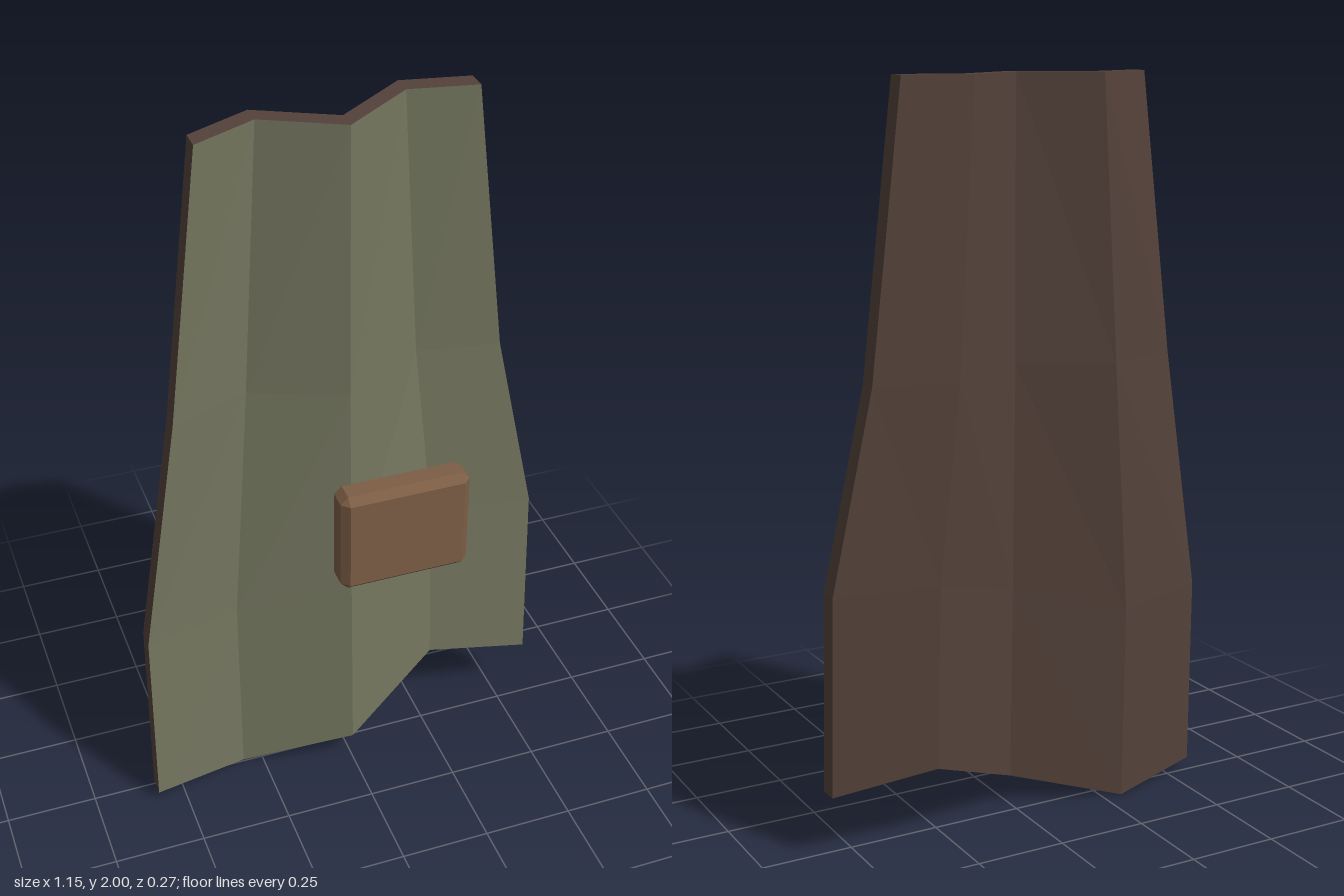
import * as THREE from 'three';
import { ConvexGeometry } from 'three/addons/geometries/ConvexGeometry.js';

const olive = new THREE.MeshStandardMaterial({ color: 0x74765f });
olive.name = 'olive cloth';
const brown = new THREE.MeshStandardMaterial({ color: 0x54423a });
brown.name = 'dark brown lining';
const tan = new THREE.MeshStandardMaterial({ color: 0x7d5e45 });
tan.name = 'tan leather';

// Folded cloth: rows from top to hem, each point is [x, y, z of the front face]
const ROWS = [
  [[-0.37, 2, 0.035], [-0.2, 2, -0.045], [0, 2, 0.058], [0.19, 2, -0.08], [0.37, 2, -0.045]],
  [[-0.46, 1.25, 0.035], [-0.245, 1.25, -0.045], [0, 1.25, 0.06], [0.235, 1.25, -0.08], [0.46, 1.25, -0.045]],
  [[-0.57, 0.57, 0.05], [-0.3, 0.55, -0.025], [0, 0.63, 0.075], [0.285, 0.72, -0.06], [0.57, 0.72, -0.025]],
  [[-0.578, 0.03, 0.068], [-0.305, 0, -0.005], [0, 0.085, 0.09], [0.29, 0.215, -0.043], [0.577, 0.18, -0.008]],
];
const THICKNESS = 0.055;

// Faceted mesh from quads given counter-clockwise: a, b, c, d
function quadMesh(name, quads, material) {
  const pos = quads.flatMap(([a, b, c, d]) => [a, b, c, a, c, d].flat());
  const geo = new THREE.BufferGeometry();
  geo.setAttribute('position', new THREE.Float32BufferAttribute(pos, 3));
  geo.computeVertexNormals();
  const mesh = new THREE.Mesh(geo, material);
  mesh.name = name;
  return mesh;
}

function buildCloth() {
  const back = ROWS.map((row) => row.map(([x, y, z]) => [x, y, z - THICKNESS]));
  const frontQuads = [], backQuads = [], rimQuads = [];
  for (let r = 0; r < 3; r++) {
    for (let c = 0; c < 4; c++) {
      const corners = [[r, c + 1], [r, c], [r + 1, c], [r + 1, c + 1]];
      frontQuads.push(corners.map(([i, j]) => ROWS[i][j]));
      backQuads.push([corners[0], corners[3], corners[2], corners[1]].map(([i, j]) => back[i][j]));
    }
  }
  // Walk the outline counter-clockwise as seen from the front
  const outline = [];
  for (let c = 0; c < 4; c++) outline.push([3, c]);
  for (let r = 3; r > 0; r--) outline.push([r, 4]);
  for (let c = 4; c > 0; c--) outline.push([0, c]);
  for (let r = 0; r < 3; r++) outline.push([r, 0]);
  outline.forEach(([r, c], i) => {
    const [r2, c2] = outline[(i + 1) % outline.length];
    rimQuads.push([ROWS[r][c], back[r][c], back[r2][c2], ROWS[r2][c2]]);
  });
  const cloth = new THREE.Group();
  cloth.name = 'foldedCloth';
  cloth.add(
    quadMesh('clothFront', frontQuads, olive),
    quadMesh('clothLining', backQuads, brown),
    quadMesh('clothRim', rimQuads, brown),
  );
  return cloth;
}

// Box with all edges cut at 45 degrees
function chamferedBox(w, h, d, cut) {
  const points = [];
  for (const sx of [-1, 1]) for (const sy of [-1, 1]) for (const sz of [-1, 1]) {
    for (let full = 0; full < 3; full++) {
      const [x, y, z] = [w, h, d].map((s, axis) => s / 2 - (axis === full ? 0 : cut));
      points.push(new THREE.Vector3(sx * x, sy * y, sz * z));
    }
  }
  return new ConvexGeometry(points);
}

export function createModel() {
  const model = new THREE.Group();
  model.name = 'clothPanel';
  model.add(buildCloth());

  // Pouch hanging in front of the cloth
  const pouch = new THREE.Mesh(chamferedBox(0.365, 0.306, 0.094, 0.021), tan);
  pouch.name = 'pouch';
  pouch.position.set(0.137, 0.82, 0.087);
  model.add(pouch);
  return model;
}
